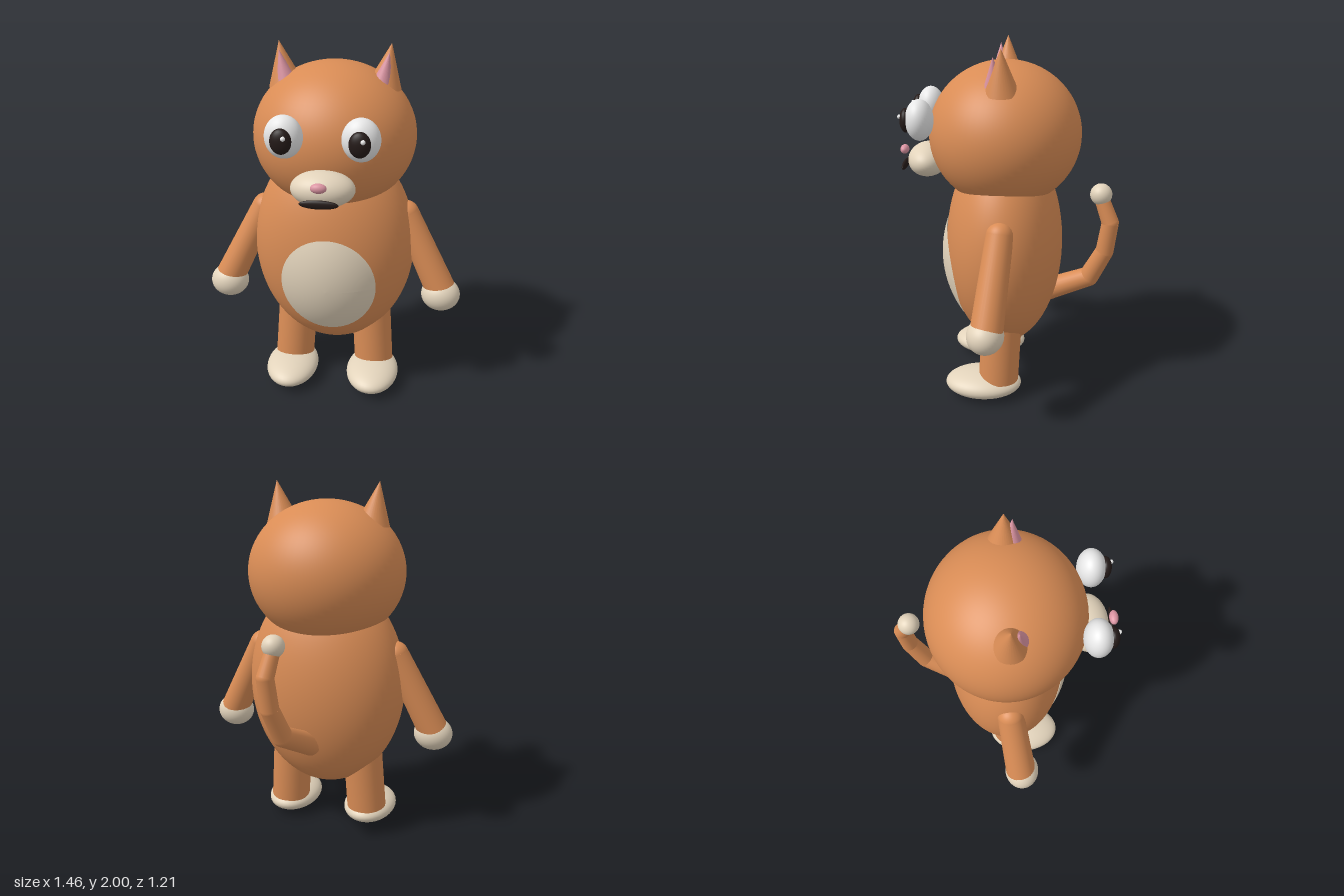
import * as THREE from 'three';

const paint = (name, color) => Object.assign(new THREE.MeshStandardMaterial({ color }), { name });

export function createModel() {
  const model = new THREE.Group();
  model.name = 'catFigure';

  const fur = paint('orange fur', 0xd98c55);
  const cream = paint('cream', 0xe2d3bb);
  const white = paint('eye white', 0xe8e8e8);
  const dark = paint('near black', 0x241a18);
  const pink = paint('pink', 0xdb94a2);
  cream.side = THREE.DoubleSide;

  const add = (name, geometry, material) => {
    const mesh = new THREE.Mesh(geometry, material);
    mesh.name = name;
    model.add(mesh);
    return mesh;
  };

  // Ellipsoid from centre and radii
  const ball = (name, material, center, radii, detail = 40) => {
    const mesh = add(name, new THREE.SphereGeometry(1, detail, Math.round(detail * 0.7)), material);
    mesh.position.set(...center);
    mesh.scale.set(...radii);
    return mesh;
  };

  // Tapered round limb between two points
  const limb = (name, material, from, to, r0, r1, sides = 32) => {
    const a = new THREE.Vector3(...from), b = new THREE.Vector3(...to);
    const dir = b.clone().sub(a);
    const mesh = add(name, new THREE.CylinderGeometry(r1, r0, dir.length(), sides), material);
    mesh.position.copy(a).add(b).multiplyScalar(0.5);
    mesh.quaternion.setFromUnitVectors(new THREE.Vector3(0, 1, 0), dir.normalize());
    return mesh;
  };

  // Head and body
  const bodyAt = [0, 0.873, 0.03], bodyR = [0.455, 0.608, 0.33];
  ball('body', fur, bodyAt, bodyR, 64);
  ball('head', fur, [0, 1.51, 0.025], [0.44, 0.395, 0.415], 64);

  // Belly patch: a disc swelling gently off the front of the body
  const belly = new THREE.RingGeometry(0.001, 1, 56, 12);
  const p = belly.attributes.position;
  for (let i = 0; i < p.count; i++) {
    const u = p.getX(i), v = p.getY(i);
    const x = u * 0.262, y = 0.728 + v * 0.295;
    const s = 1 - (x / bodyR[0]) ** 2 - ((y - bodyAt[1]) / bodyR[1]) ** 2;
    const swell = 0.004 + 0.03 * (1 - u * u - v * v);
    p.setXYZ(i, x, y, bodyAt[2] + bodyR[2] * Math.sqrt(s) + swell);
  }
  belly.computeVertexNormals();
  add('belly', belly, cream);

  // Muzzle, nose and mouth
  ball('muzzle', cream, [0, 1.36, 0.455], [0.163, 0.092, 0.11]);
  ball('nose', pink, [0, 1.412, 0.586], [0.04, 0.025, 0.024], 24);
  ball('mouth', dark, [0, 1.328, 0.585], [0.097, 0.023, 0.013], 32);

  for (const [side, s] of [['left', 1], ['right', -1]]) {
    // Ears
    limb(side + 'Ear', fur, [s * 0.258, 1.776, 0.028], [s * 0.292, 2, 0.028], 0.092, 0);
    limb(side + 'InnerEar', pink, [s * 0.245, 1.78, 0.066], [s * 0.285, 1.96, 0.068], 0.06, 0);

    // Eyes
    ball(side + 'Eye', white, [s * 0.188, 1.62, 0.461], [0.095, 0.108, 0.074]);
    ball(side + 'Pupil', dark, [s * 0.188, 1.618, 0.532], [0.053, 0.064, 0.032], 28);
    ball(side + 'EyeGlint', white, [s * 0.188 + 0.018, 1.64, 0.56], [0.012, 0.012, 0.012], 16);

    // Arms
    const shoulder = [s * 0.4, 1.07, 0.03];
    ball(side + 'Shoulder', fur, shoulder, [0.073, 0.073, 0.073], 32);
    limb(side + 'Arm', fur, shoulder, [s * 0.618, 0.63, 0.083], 0.073, 0.087);
    ball(side + 'Hand', cream, [s * 0.619, 0.605, 0.09], [0.11, 0.096, 0.098]);

    // Legs
    limb(side + 'Leg', fur, [s * 0.243, 0.11, 0.053], [s * 0.213, 0.56, 0.03], 0.115, 0.113);
    ball(side + 'Foot', cream, [s * 0.243, 0.079, 0.141], [0.153, 0.075, 0.22]);
  }

  // Tail: tapering segments with rounded joints
  const tail = [
    [0.01, 0.575, -0.22, 0.066], [0.085, 0.7, -0.455, 0.056], [0.12, 0.875, -0.535, 0.05],
    [0.132, 1.05, -0.557, 0.047], [0.108, 1.19, -0.503, 0.04],
  ];
  tail.forEach(([x, y, z, r], i) => {
    if (i === tail.length - 1) return;
    const [x2, y2, z2, r2] = tail[i + 1];
    limb('tailSegment' + i, fur, [x, y, z], [x2, y2, z2], r, r2, 24);
    if (i) ball('tailJoint' + i, fur, [x, y, z], [r, r, r], 24);
  });
  ball('tailTip', cream, [0.107, 1.205, -0.502], [0.06, 0.06, 0.06], 28);

  return model;
}
